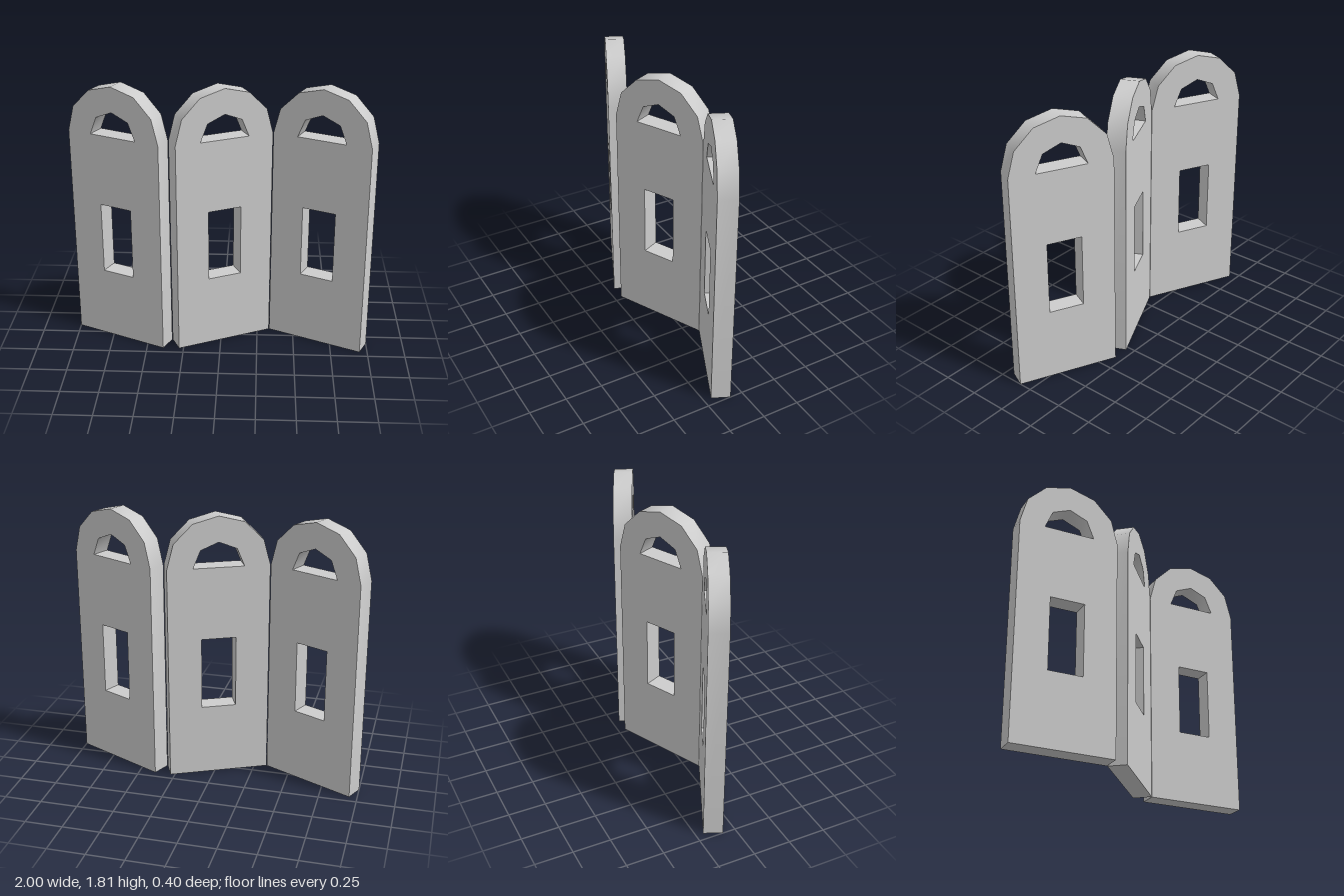
import * as THREE from 'three';
import { toCreasedNormals } from 'three/addons/utils/BufferGeometryUtils.js';

const WIDTH = 0.675;      // panel width
const THICK = 0.125;      // panel thickness
const SPRING = 1.468;     // height where the arches begin
const PITCH = 0.668;      // spacing between panel centres
const FOLD = THREE.MathUtils.degToRad(25);

// Points of a half circle standing on the spring line, from right to left
function archPoints(radius, segments) {
  return Array.from({ length: segments + 1 }, (_, i) => {
    const a = (Math.PI * i) / segments;
    return new THREE.Vector2(radius * Math.cos(a), SPRING + radius * Math.sin(a));
  });
}

// Round-topped slab with an arched opening above a rectangular one
function panelGeometry() {
  const half = WIDTH / 2;
  const outline = new THREE.Shape([
    new THREE.Vector2(-half, 0),
    new THREE.Vector2(half, 0),
    ...archPoints(half, 6),
  ]);
  const w = 0.115, bottom = 0.49, top = 0.98;
  outline.holes.push(
    new THREE.Path(archPoints(0.168, 4)),
    new THREE.Path([
      new THREE.Vector2(-w, bottom),
      new THREE.Vector2(w, bottom),
      new THREE.Vector2(w, top),
      new THREE.Vector2(-w, top),
    ]),
  );
  const geo = new THREE.ExtrudeGeometry(outline, { depth: THICK, bevelEnabled: false });
  geo.translate(0, 0, -THICK / 2);
  // Smooth round the arches, sharp at the square edges
  return toCreasedNormals(geo, THREE.MathUtils.degToRad(60));
}

export function createModel() {
  const model = new THREE.Group();
  model.name = 'foldingScreen';
  const grey = new THREE.MeshStandardMaterial({ color: 0xcccccc });
  grey.name = 'lightGrey';

  // Three panels folded in a zigzag
  const geo = panelGeometry();
  ['rightPanel', 'middlePanel', 'leftPanel'].forEach((name, i) => {
    const panel = new THREE.Mesh(geo, grey);
    panel.name = name;
    panel.position.x = (i - 1) * PITCH;
    panel.rotation.y = i === 1 ? FOLD : -FOLD;
    model.add(panel);
  });
  return model;
}
